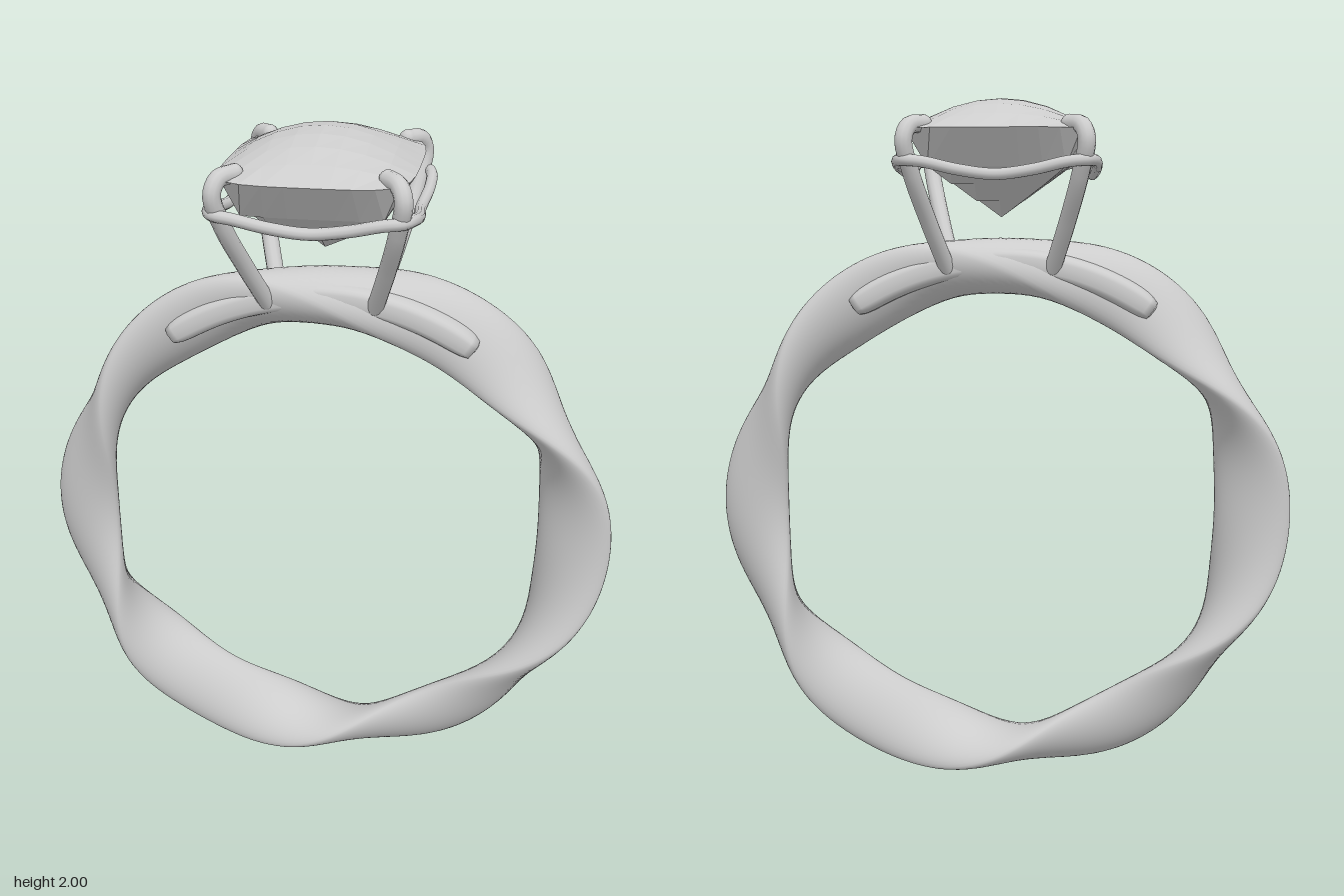
import * as THREE from 'three';

const metal = new THREE.MeshStandardMaterial({ color: 0xcccccc });
metal.name = 'pale grey';

const CENTRE_Y = 0.805;
const rad = THREE.MathUtils.degToRad;

// Sweep a soft oval section around the ring centre.
// at(t) gives angle, radius, half sizes a and b, tilt of the long axis and roundness power.
function sweep(steps, sides, closed, at) {
  const pos = [], index = [];
  const rows = closed ? steps : steps + 1;
  const soft = (v, p) => Math.sign(v) * Math.abs(v) ** p;
  for (let i = 0; i < rows; i++) {
    const { angle, radius, a, b, tilt, p, q } = at(i / steps);
    for (let j = 0; j < sides; j++) {
      const s = (j / sides) * Math.PI * 2;
      const u = a * soft(Math.cos(s), p), v = b * soft(Math.sin(s), q);
      const r = radius + u * Math.cos(tilt) - v * Math.sin(tilt);
      const z = u * Math.sin(tilt) + v * Math.cos(tilt);
      pos.push(r * Math.cos(angle), CENTRE_Y + r * Math.sin(angle), z);
    }
  }
  for (let i = 0; i < steps; i++) {
    for (let j = 0; j < sides; j++) {
      const k = (j + 1) % sides, n = (i + 1) % rows;
      const A = i * sides + j, B = n * sides + j, C = n * sides + k, D = i * sides + k;
      index.push(A, B, D, B, C, D);
    }
  }
  const geo = new THREE.BufferGeometry();
  geo.setAttribute('position', new THREE.Float32BufferAttribute(pos, 3));
  geo.setIndex(index);
  geo.computeVertexNormals();
  return geo;
}

// Faceted half of the stone: a grid bent to a cushion outline with a height rule
function stoneHalf(turn, height) {
  const geo = new THREE.PlaneGeometry(2, 2, 8, 8).rotateX(turn);
  const p = geo.attributes.position;
  for (let i = 0; i < p.count; i++) {
    const u = p.getX(i), v = p.getZ(i);
    p.setXYZ(i, 0.258 * u * (1 - 0.12 * v ** 4), height(u, v), 0.303 * v * (1 - 0.12 * u ** 4));
  }
  const flat = geo.toNonIndexed();
  flat.computeVertexNormals();
  return flat;
}

export function createModel() {
  const model = new THREE.Group();
  model.name = 'ring';
  const add = (name, geo, parent = model) => {
    const mesh = new THREE.Mesh(geo, metal);
    mesh.name = name;
    parent.add(mesh);
    return mesh;
  };

  // Band whose flat section rocks back and forth six times around the finger
  add('band', sweep(240, 36, true, (t) => {
    const angle = t * Math.PI * 2;
    const top = Math.exp(-(((angle - Math.PI / 2) / rad(20)) ** 2));
    return {
      angle,
      radius: 0.742 - 0.015 * top,
      a: 0.116 - 0.014 * top,
      b: 0.056 + 0.024 * top,
      tilt: rad(90 - 65 * Math.cos(3 * angle)),
      p: 1, q: 1.15,
    };
  }));

  // Arched bar under the setting, with rounded ends
  add('supportBar', sweep(48, 28, false, (t) => {
    const end = Math.sqrt(Math.max(0, 1 - Math.abs(2 * t - 1) ** 16));
    return {
      angle: rad(54 + 73 * t), radius: 0.742,
      a: 0.092 * (0.8 + 0.2 * end) * (end > 0 ? 1 : 0), b: 0.042 * end,
      tilt: Math.PI / 2, p: 0.5, q: 0.6,
    };
  }));

  // Stone: domed crown above, pointed pavilion below
  const stone = new THREE.Group();
  stone.name = 'stone';
  model.add(stone);
  add('crown', stoneHalf(-Math.PI / 2, (u, v) => 2 - 0.09 * (u * u + v * v - u * u * v * v)), stone);
  add('pavilion', stoneHalf(Math.PI / 2, (u, v) => {
    const m = Math.max(Math.abs(u), Math.abs(v));
    return m <= 0.75 ? 1.67 + 0.14 * (m / 0.75) : 1.81 + 0.1 * ((m - 0.75) / 0.25);
  }), stone);

  // Four prongs hooking over the corners of the stone
  const prongPath = [
    [0.15, 1.53, 0.075], [0.19, 1.66, 0.165], [0.225, 1.79, 0.252],
    [0.241, 1.88, 0.286], [0.228, 1.915, 0.268], [0.195, 1.922, 0.228],
  ];
  for (const sx of [1, -1]) {
    for (const sz of [1, -1]) {
      const prong = new THREE.Group();
      prong.name = (sz > 0 ? 'front' : 'back') + (sx > 0 ? 'Left' : 'Right') + 'Prong';
      model.add(prong);
      const pts = prongPath.map(([x, y, z]) => new THREE.Vector3(x * sx, y, z * sz));
      add('prongWire', new THREE.TubeGeometry(new THREE.CatmullRomCurve3(pts), 40, 0.024, 12), prong);
      for (const end of [pts[0], pts[pts.length - 1]]) {
        add('prongEnd', new THREE.SphereGeometry(0.024, 12, 8), prong).position.copy(end);
      }
    }
  }

  // Gallery wire around the prongs, dipping between the corners
  const quarter = [
    [0.258, 1.79, 0], [0.268, 1.808, 0.15], [0.264, 1.825, 0.24], [0.243, 1.827, 0.285],
    [0.19, 1.822, 0.296], [0.1, 1.802, 0.291], [0, 1.79, 0.286],
  ];
  const half = [...quarter, ...quarter.slice(1, -1).reverse().map(([x, y, z]) => [-x, y, z])];
  const loop = [...half, ...half.map(([x, y, z]) => [-x, y, -z])]
    .map((q) => new THREE.Vector3(...q));
  add('galleryWire', new THREE.TubeGeometry(new THREE.CatmullRomCurve3(loop, true), 160, 0.016, 10, true));

  return model;
}
